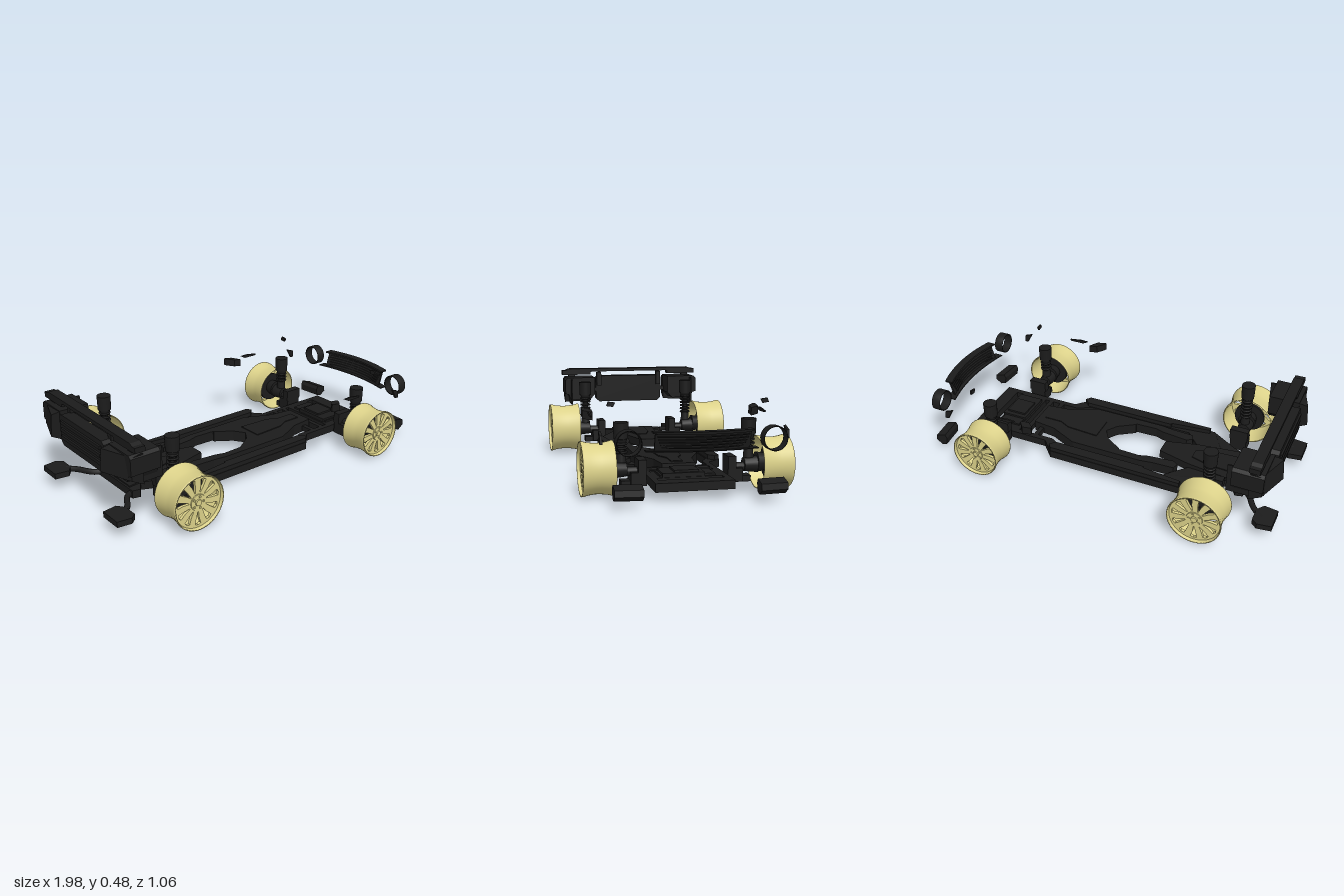
import * as THREE from 'three';

const dark = new THREE.MeshStandardMaterial({ color: 0x1c1c1c, side: THREE.DoubleSide });
const gold = new THREE.MeshStandardMaterial({ color: 0xdcd28a, side: THREE.DoubleSide });

const named = (name, geo, mat = dark) => {
  const m = new THREE.Mesh(geo, mat);
  m.name = name;
  return m;
};
const v2 = pts => pts.map(p => new THREE.Vector2(...p));
const both = half => [...half, ...half.slice().reverse().filter(p => p[1] !== 0).map(([x, z]) => [x, -z])];
const extrude = (pts, holes, depth) => {
  const s = new THREE.Shape(v2(pts));
  s.holes = holes.map(h => new THREE.Path(v2(h)));
  return new THREE.ExtrudeGeometry(s, { depth, bevelEnabled: false });
};
// move vertices by a rule
const reshape = (mesh, rule) => {
  const p = mesh.geometry.attributes.position, v = new THREE.Vector3();
  for (let i = 0; i < p.count; i++) {
    rule(v.fromBufferAttribute(p, i));
    p.setXYZ(i, v.x, v.y, v.z);
  }
  mesh.geometry.computeVertexNormals();
  return mesh;
};
// box from its limits
const box = (name, x0, x1, y0, y1, z0, z1) => named(name,
  new THREE.BoxGeometry(x1 - x0, y1 - y0, z1 - z0).translate((x0 + x1) / 2, (y0 + y1) / 2, (z0 + z1) / 2));
// outline in (x, z), thickness along y
const plate = (name, pts, y0, y1, holes = []) =>
  named(name, extrude(pts, holes, y1 - y0).rotateX(Math.PI / 2).translate(0, y1, 0));
// outline in (x, y), thickness along z
const slab = (name, pts, z0, z1) => named(name, extrude(pts, [], z1 - z0).translate(0, 0, z0));
// outline in (z, y), thickness along x
const wall = (name, pts, x0, x1) => named(name, extrude(pts, [], x1 - x0).rotateY(-Math.PI / 2).translate(x1, 0, 0));

// rim with a waisted barrel and slotted face; outside faces +z
function makeWheel(R, w) {
  const g = new THREE.Group();
  g.name = 'wheel';
  const h = w / 2;
  const profile = [[.965, -h], [1, -h], [1, -h + .008], [.955, -h + .03], [.92, -.01], [.92, .015],
    [.955, h - .03], [1, h - .008], [1, h], [.96, h], [.925, h - .03], [.9, .01], [.93, -h + .03], [.965, -h]];
  g.add(named('rimBarrel', new THREE.LatheGeometry(v2(profile.map(([r, z]) => [r * R, z])), 48)
    .rotateX(Math.PI / 2), gold));
  // spoked disc: tapered slots swept slightly round the hub
  const n = 11, holes = [];
  for (let i = 0; i < n; i++) {
    const a = i / n * Math.PI * 2 + .14;
    holes.push([[.36, -.03], [.6, -.13], [.83, -.15], [.86, 0], [.82, .13], [.6, .07], [.36, .05]]
      .map(([r, t]) => [r * R * Math.cos(a + t), r * R * Math.sin(a + t)]));
  }
  const ring = Array.from({ length: 48 }, (_, i) => [.94 * R * Math.cos(i * Math.PI / 24), .94 * R * Math.sin(i * Math.PI / 24)]);
  g.add(named('spokes', extrude(ring, holes, .016).translate(0, 0, h - .032), gold));
  g.add(named('hub', new THREE.CylinderGeometry(.29 * R, .33 * R, .014, 32).rotateX(Math.PI / 2).translate(0, 0, h - .019), gold));
  g.add(named('hubCap', new THREE.CylinderGeometry(.11 * R, .13 * R, .008, 20).rotateX(Math.PI / 2).translate(0, 0, h - .01), gold));
  for (let i = 0; i < 5; i++) {
    const a = i / 5 * Math.PI * 2;
    g.add(named('wheelBolt', new THREE.CylinderGeometry(.006, .006, .005, 8).rotateX(Math.PI / 2)
      .translate(.21 * R * Math.cos(a), .21 * R * Math.sin(a), h - .01), gold));
  }
  return g;
}

// strut, spring, hub carrier and brake, for the +z side
function makeSuspension(x, cy, top) {
  const g = new THREE.Group();
  g.name = 'suspension';
  const b = cy + .03;
  g.add(named('strutBody', new THREE.CylinderGeometry(.022, .026, .05, 16).translate(x, b + .02, .315)));
  g.add(named('strutRod', new THREE.CylinderGeometry(.017, .017, top - b - .06, 12).translate(x, (top + b) / 2 - .01, .315)));
  g.add(named('strutSeat', new THREE.CylinderGeometry(.03, .024, .02, 20).translate(x, top - .09, .315)));
  g.add(named('strutTop', new THREE.CylinderGeometry(.037, .035, .078, 20).translate(x, top - .039, .315)));
  for (let y = b + .045; y < top - .09; y += .02)
    g.add(named('springCoil', new THREE.TorusGeometry(.026, .006, 6, 20).rotateX(Math.PI / 2).translate(x, y, .315)));
  g.add(named('axle', new THREE.CylinderGeometry(.022, .022, .2, 16).rotateX(Math.PI / 2).translate(x, cy - .02, .33)));
  g.add(named('hubCarrier', new THREE.CylinderGeometry(.042, .034, .07, 16).rotateX(Math.PI / 2).translate(x, cy - .01, .325)));
  g.add(named('brakeDisc', new THREE.CylinderGeometry(.085, .085, .016, 32).rotateX(Math.PI / 2).translate(x, cy, .415)));
  g.add(named('brakeHub', new THREE.CylinderGeometry(.04, .05, .06, 20).rotateX(Math.PI / 2).translate(x, cy, .385)));
  g.add(box('innerMount', x - .05, x + .05, cy - .02, cy + .04, .2, .24));
  g.add(box('innerMountBase', x - .045, x + .045, cy - .085, cy - .02, .2, .275));
  g.add(box('lowerArm', x - .03, x + .03, cy - .09, cy - .06, .22, .32));
  return g;
}

// everything that exists on both sides, built for +z
function makeSide() {
  const g = new THREE.Group();
  const axles = [[-.635, .147, .141, .17, .446, .42], [.614, .133, .131, .155, .432, .35]];
  for (const [x, cy, R, w, z, top] of axles) {
    const wheel = makeWheel(R, w);
    wheel.position.set(x, cy, z);
    g.add(wheel, makeSuspension(x, cy, top));
  }

  // tail pod, its forward flange, and a lens that sweeps forward at the corner
  const podOutline = [[.235, .33], [.265, .297], [.385, .297], [.4, .33], [.42, .335], [.42, .42], [.405, .435], [.235, .435]];
  g.add(wall('tailPod', podOutline, -.93, -.77));
  g.add(slab('podFlange', [[-.9, .3], [-.86, .27], [-.74, .27], [-.74, .425], [-.9, .43]], .378, .386));
  g.add(reshape(slab('tailLens', [[-.985, .31], [-.92, .275], [-.92, .432], [-.975, .425]], .24, .415),
    v => { if (v.z > .4) v.x += .06; }));
  g.add(box('spoilerEnd', -.91, -.855, .447, .475, .25, .43));
  g.add(box('spoilerPost', -.9, -.87, .43, .45, .35, .39));
  g.add(box('spoilerBracket', -.9, -.865, .375, .46, .18, .208));

  // exhaust pipe and flat tip
  const path = new THREE.CatmullRomCurve3([[-.72, .085, .13], [-.8, .085, .16], [-.86, .085, .25], [-.92, .085, .31]]
    .map(p => new THREE.Vector3(...p)));
  g.add(named('exhaustPipe', new THREE.TubeGeometry(path, 16, .015, 10)));
  g.add(plate('exhaustTip', [[-.985, .24], [-.91, .23], [-.88, .27], [-.88, .35], [-.91, .375], [-.985, .365]], .069, .099));

  // headlight ring and lower lamp
  const ring = v2([[.053, -.025], [.058, -.025], [.058, .025], [.053, .025], [.053, -.025]]);
  g.add(named('headlightRing', new THREE.LatheGeometry(ring, 32).rotateZ(-Math.PI / 2).translate(.915, .3, .335)));
  g.add(reshape(slab('lowerLamp', [[.885, .05], [.915, .04], [.95, .065], [.945, .095], [.89, .11], [.88, .09]], .27, .4),
    v => { if (v.z > .39) v.x -= .012; }));

  // mirror, door trim, wing trim and washer nozzle
  g.add(reshape(plate('mirror', [[.28, .46], [.285, .445], [.32, .412], [.368, .412], [.362, .425], [.335, .46]], .333, .374),
    v => { v.y -= (v.x - .325) * .15; }));
  g.add(slab('doorTrim', [[.39, .375], [.42, .36], [.5, .36], [.505, .368], [.43, .378]], .433, .442));
  g.add(slab('wingTrim', [[.77, .335], [.8, .28], [.82, .28], [.815, .32]], .434, .446));
  g.add(wall('washerNozzle', [[.352, .45], [.362, .43], [.392, .435], [.385, .455]], .672, .682));

  // floor arms, sill bars and front rails
  g.add(plate('floorArm', [[-.4, .12], [-.37, .1], [-.23, .115], [-.18, .13], [-.03, .125], [-.03, .17], [-.2, .17], [-.27, .16], [-.39, .155]], .06, .115));
  g.add(plate('sillBar', [[-.46, .24], [-.24, .215], [-.24, .205], [.28, .205], [.31, .235], [.29, .262], [-.46, .262]], .088, .113));
  g.add(box('frontRail', .36, .78, .06, .09, .165, .188));
  return g;
}

export function createModel() {
  const model = new THREE.Group();
  model.name = 'carChassis';

  const left = makeSide(), right = makeSide();
  left.name = 'sideA';
  right.name = 'sideB';
  right.scale.z = -1;
  model.add(left, right);

  // main frame ring with the cabin and front openings; the tail kicks up
  const outline = both([[-.78, .17], [-.74, .18], [-.7, .12], [-.63, .15], [-.48, .265], [.29, .265], [.36, .19], [.81, .19]]);
  const cabin = both([[-.48, 0], [-.45, .09], [-.35, .2], [.26, .2], [.33, .16], [.54, .16], [.54, 0]]);
  const frontGap = both([[.695, .16], [.735, .16]]);
  model.add(reshape(plate('frame', outline, .048, .09, [cabin, frontGap]), v => { if (v.x < -.6) v.y += .018; }));
  model.add(plate('rearDeck', both([[-.77, .13], [-.6, .11], [-.45, .09], [-.27, .045]]), .07, .115));
  model.add(plate('rearTunnel', both([[-.74, .07], [-.55, .06], [-.45, .03]]), .115, .12));
  model.add(plate('floor', both([[.07, 0], [.03, .06], [-.06, .12], [-.06, .17], [.2, .17], [.35, .1], [.48, .085], [.48, 0]]), .055, .115));
  model.add(plate('floorRidge', both([[.1, .07], [.28, .06], [.34, .03], [.44, .03]]), .115, .12));
  model.add(box('engineBlock', .55, .69, .06, .11, -.075, .13));
  model.add(box('engineSump', .56, .68, .05, .1, -.13, .14));
  model.add(box('engineCover', .565, .675, .11, .12, -.05, .07));
  model.add(box('frontBar', .74, .81, .055, .088, -.18, .18));
  for (const x of [.42, .49]) model.add(box('crossRib', x, x + .025, .06, .09, -.16, .16));

  // rear panel with recess ribs, and the bar above it
  const panel = [[-.19, .27], [.19, .27], [.21, .29], [.215, .42], [.195, .435], [-.195, .435], [-.215, .42], [-.21, .29]];
  model.add(wall('rearPanel', panel, -.945, -.88));
  for (const z of [-.225, .225]) model.add(box('panelLink', -.93, -.89, .335, .36, z - .015, z + .015));
  for (let i = 0; i < 3; i++) {
    const y = .31 + i * .04;
    model.add(box('rearPanelRib', -.955, -.945, y, y + .018, -.19, .19));
  }
  model.add(wall('spoiler', [[-.43, .462], [-.25, .462], [-.24, .466], [.24, .466], [.25, .462], [.43, .462], [.39, .485], [-.39, .485]], -.91, -.855));

  // gently bowed front grille leaning back towards its foot
  const bow = (half, depth, out) => {
    const arc = Array.from({ length: 13 }, (_, i) => {
      const t = i / 6 - 1;
      return [.99 + out - .035 * t * t, half * t];
    });
    return [...arc, ...arc.slice().reverse().map(([x, z]) => [x - depth, z])];
  };
  const grille = new THREE.Group();
  grille.name = 'grille';
  grille.add(plate('grilleBacking', bow(.22, .01, -.012), .26, .345));
  for (let i = 0; i < 6; i++) {
    const y = .272 + i * .013;
    grille.add(plate('grilleSlat', bow(.19 + i * .005, .025, 0), y, y + .005));
  }
  grille.add(plate('grilleLip', bow(.258, .045, 0), .257, .262));
  grille.add(plate('grilleTop', bow(.23, .045, 0), .342, .35));
  for (const part of grille.children) reshape(part, v => { v.x -= (.35 - v.y) * .3; });
  model.add(grille);

  return model;
}
